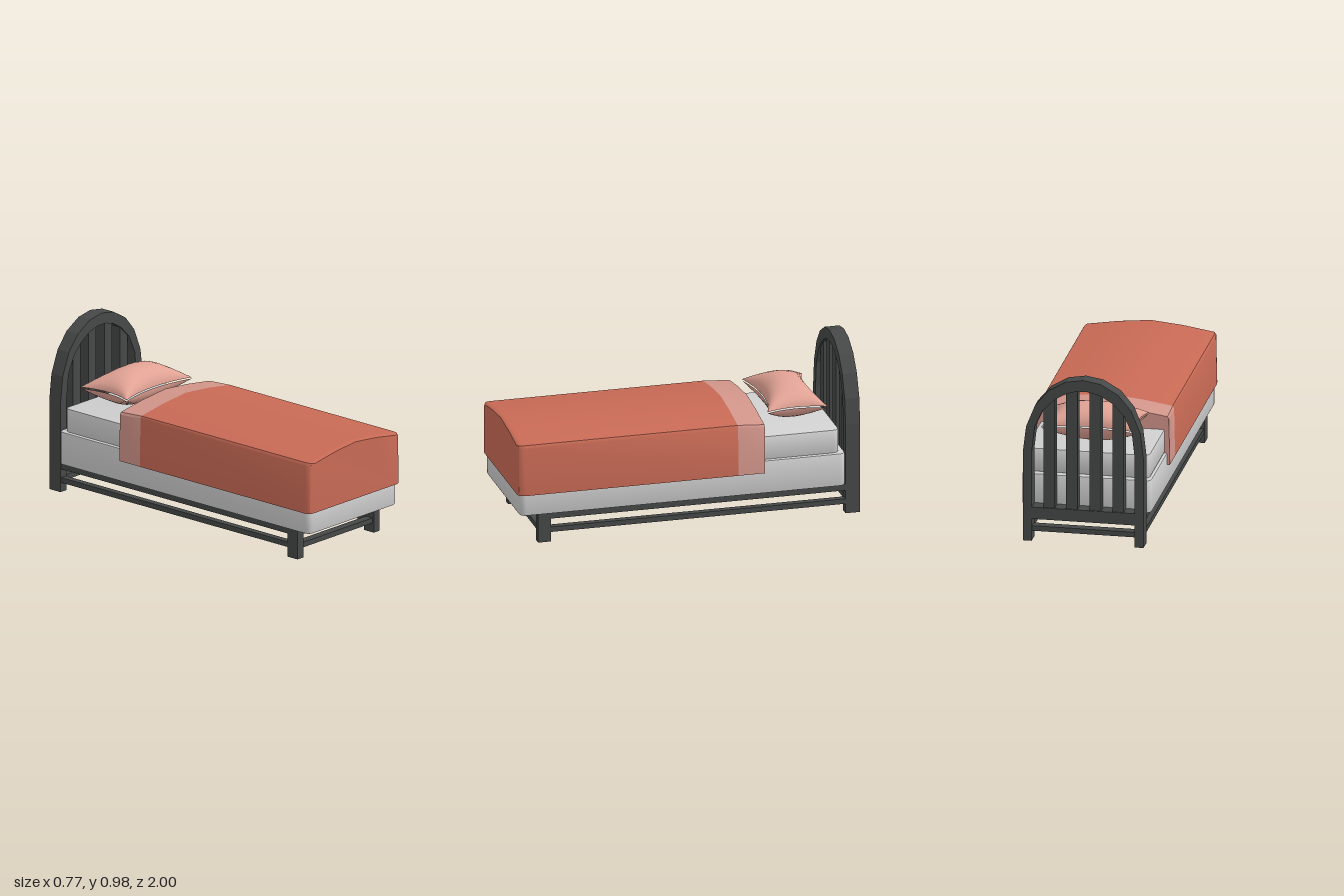
import * as THREE from 'three';
import { mergeVertices, toCreasedNormals } from 'three/addons/utils/BufferGeometryUtils.js';

const mat = (name, color, side = THREE.FrontSide) => {
  const m = new THREE.MeshStandardMaterial({ color, side });
  m.name = name;
  return m;
};

export function createModel() {
  const bed = new THREE.Group();
  bed.name = 'bed';
  const wood = mat('dark wood', 0x464848);
  const linen = mat('pale linen', 0xcfcfcf);
  const cover = mat('terracotta cover', 0xc86a55);
  const fold = mat('folded cover edge', 0xd2958a);
  const pillowCloth = mat('pink pillow cloth', 0xe0a294);

  const add = (name, geometry, material, parent = bed) => {
    const mesh = new THREE.Mesh(geometry, material);
    mesh.name = name;
    parent.add(mesh);
    return mesh;
  };
  // Box given by its limits on each axis
  const box = (name, [x0, x1], [y0, y1], [z0, z1], parent) =>
    add(name, new THREE.BoxGeometry(x1 - x0, y1 - y0, z1 - z0), wood, parent)
      .position.set((x0 + x1) / 2, (y0 + y1) / 2, (z0 + z1) / 2);

  // Frame: front legs, side rails and cross rails at two heights
  const frame = new THREE.Group();
  frame.name = 'frame';
  bed.add(frame);
  const heights = [['upper', [0.135, 0.175]], ['lower', [0.055, 0.085]]];
  for (const s of [-1, 1]) {
    const span = (a, b) => (s > 0 ? [a, b] : [-b, -a]);
    box('frontLeg', span(0.295, 0.345), [0, 0.175], [0.8, 0.875], frame);
    for (const [n, y] of heights) box(n + 'SideRail', span(0.3, 0.34), y, [-0.92, 0.8], frame);
  }
  for (const [n, y] of heights) {
    box(n + 'FrontRail', [-0.295, 0.295], y, [0.815, 0.865], frame);
  }

  // Headboard: arched band whose ends run down as the back legs
  const headboard = new THREE.Group();
  headboard.name = 'headboard';
  bed.add(headboard);
  const outer = [[0.345, 0], [0.345, 0.53], [0.327, 0.68], [0.275, 0.81], [0.2, 0.9], [0.1, 0.958]];
  const inner = [[0.295, 0], [0.295, 0.53], [0.278, 0.68], [0.232, 0.78], [0.165, 0.848], [0.1, 0.888], [0.033, 0.907]];
  const mirror = (pts) => pts.map(([x, y]) => [-x, y]).reverse();
  const loop = [...outer, [0, 0.975], ...mirror(outer), ...mirror(inner).reverse(), ...[...inner].reverse()];
  const arch = new THREE.ExtrudeGeometry(
    new THREE.Shape(loop.map(([x, y]) => new THREE.Vector2(x, y))), { depth: 0.085, bevelEnabled: false });
  arch.translate(0, 0, -1);
  add('arch', arch, wood, headboard);
  box('bottomRail', [-0.295, 0.295], [0.13, 0.2], [-0.997, -0.918], headboard);
  box('stretcher', [-0.295, 0.295], [0.055, 0.085], [-0.985, -0.93], headboard);
  for (const [x, top] of [[0.0675, 0.91], [0.197, 0.85]]) {
    for (const s of [-1, 1]) {
      box('slat', [s * x - 0.0325, s * x + 0.0325], [0.2, top], [-0.99, -0.925], headboard);
    }
  }

  // Base and mattress: rounded slabs with a small bevel
  const slab = (name, hx, z0, z1, y0, y1, r) => {
    const b = 0.008, x = hx - b, a = -z1 + b, c = -z0 - b;
    const s = new THREE.Shape();
    s.moveTo(-x + r, a).lineTo(x - r, a).quadraticCurveTo(x, a, x, a + r);
    s.lineTo(x, c - r).quadraticCurveTo(x, c, x - r, c);
    s.lineTo(-x + r, c).quadraticCurveTo(-x, c, -x, c - r);
    s.lineTo(-x, a + r).quadraticCurveTo(-x, a, -x + r, a);
    const g = new THREE.ExtrudeGeometry(s, {
      depth: y1 - y0 - 2 * b, bevelSize: b, bevelThickness: b, bevelSegments: 2, curveSegments: 5,
    });
    g.rotateX(-Math.PI / 2).translate(0, y0 + b, 0);
    add(name, toCreasedNormals(g, 0.6), linen);
  };
  slab('bedBase', 0.37, -0.91, 0.985, 0.175, 0.37, 0.03);
  slab('mattress', 0.355, -0.877, 0.965, 0.37, 0.51, 0.03);

  // Bed cover: cross-sections along z, flared at the hem and crowned on top
  const half = [[0.386, 0.302], [0.38, 0.585], [0.372, 0.599], [0.19, 0.627]];
  const profile = [...half, [0, 0.645], ...mirror(half)];
  const loft = (name, sections, material) => {
    const pos = [], idx = [], n = profile.length;
    for (const [z, inset, drop] of sections) {
      for (const [x, y] of profile) {
        const up = (y - 0.302) / 0.343;
        pos.push(x - Math.sign(x) * inset * Math.min(1, Math.abs(x) / 0.37), y - drop * up, z);
      }
    }
    for (let k = 0; k < sections.length - 1; k++) {
      for (let i = 0; i < n; i++) {
        const a = k * n + i, b = k * n + (i + 1) % n;
        idx.push(a, b, b + n, a, b + n, a + n);
      }
    }
    const last = (sections.length - 1) * n;
    for (let i = 1; i < n - 1; i++) {
      idx.push(0, i + 1, i, last, last + i, last + i + 1);
    }
    // Wind every face outward: the profile runs anticlockwise seen from +z
    for (let t = 0; t < (sections.length - 1) * n * 6; t += 3) {
      [idx[t + 1], idx[t + 2]] = [idx[t + 2], idx[t + 1]];
    }
    for (let t = 0; t < (sections.length - 1) * n * 6; t += 3) {
      [idx[t + 1], idx[t + 2]] = [idx[t + 2], idx[t + 1]];
    }
    const g = new THREE.BufferGeometry();
    g.setAttribute('position', new THREE.Float32BufferAttribute(pos, 3));
    g.setIndex(idx);
    add(name, toCreasedNormals(g, 0.5), material);
  };
  loft('cover', [[-0.28, 0, 0], [0.955, 0, 0], [0.98, 0.004, 0], [0.993, 0.013, 0.002], [1, 0.03, 0.006]], cover);
  loft('coverFold', [[-0.435, 0, 0.012], [-0.28, 0, 0]], fold);

  // Pillow: two puffed sheets with drawn-out corners
  const pillow = new THREE.Group();
  pillow.name = 'pillow';
  pillow.position.set(0, 0.62, -0.655);
  bed.add(pillow);
  for (const s of [1, -1]) {
    const g = new THREE.PlaneGeometry(2, 2, 16, 16).rotateX(-s * Math.PI / 2);
    const p = g.attributes.position;
    for (let i = 0; i < p.count; i++) {
      // Rows gather toward the seams so the edge curves smoothly
      const u = Math.sin(p.getX(i) * Math.PI / 2), v = Math.sin(p.getZ(i) * Math.PI / 2);
      const puff = Math.sqrt(Math.max(0, (1 - u * u) * (1 - v * v)));
      p.setXYZ(i, 0.275 * u * (1 - 0.13 * (1 - v * v)), s * (0.004 + 0.105 * puff),
        0.175 * v * (1 - 0.26 * (1 - u * u)));
    }
    g.deleteAttribute('normal');
    g.deleteAttribute('uv');
    const smooth = mergeVertices(g);
    smooth.computeVertexNormals();
    add(s > 0 ? 'pillowTop' : 'pillowBottom', smooth, pillowCloth, pillow);
  }
  return bed;
}
